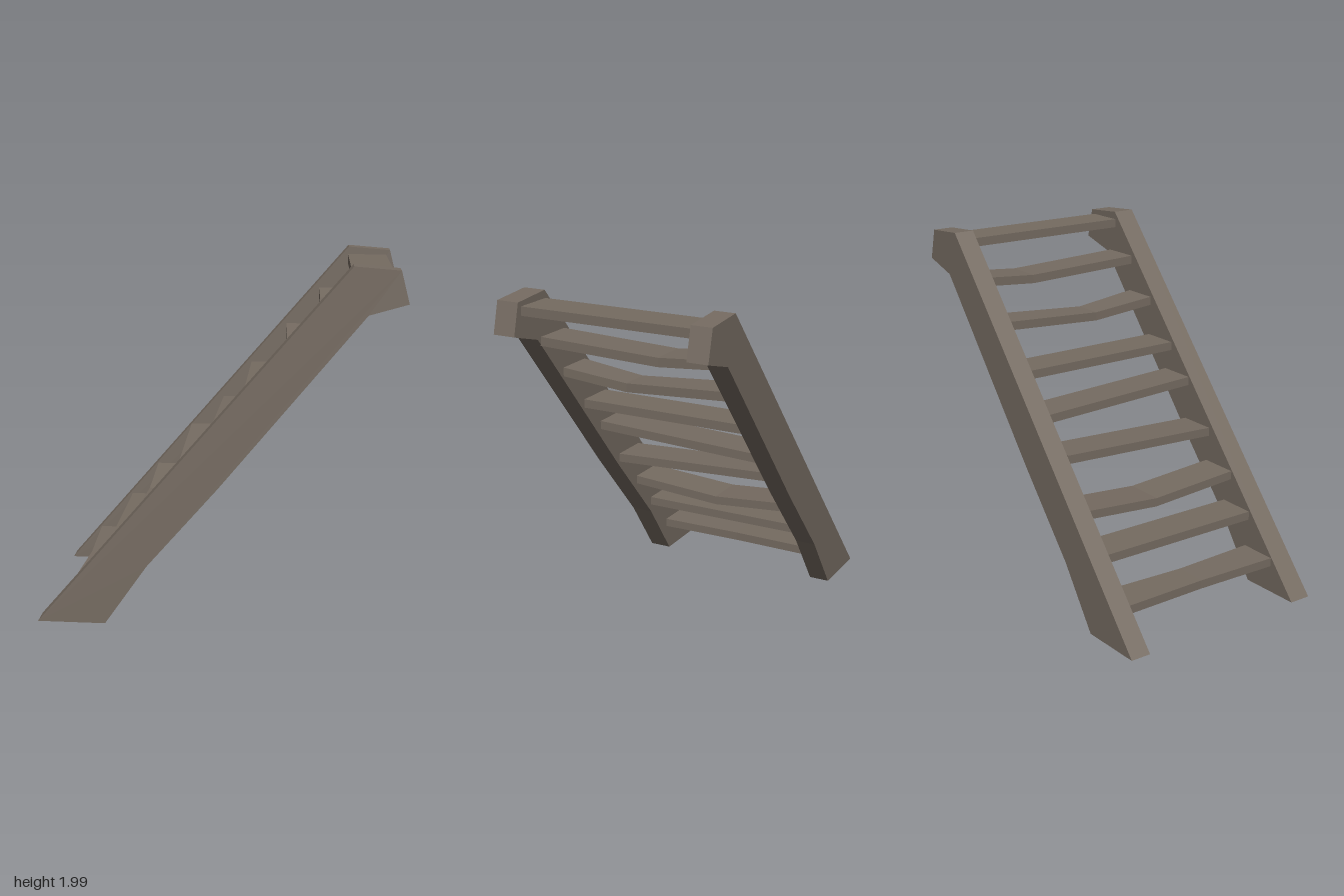
import * as THREE from 'three';

const wood = new THREE.MeshStandardMaterial({ color: 0x756b61, flatShading: true });
wood.name = 'weathered wood';

// Sloping side board, cut flat at the floor and hooked at the top
function sideBoard(name, z0, z1) {
  const outline = [[-1, 0.005], [-0.625, 0], [-0.39, 0.335], [0, 0.78],
    [0.79, 1.73], [1, 1.79], [0.955, 1.965], [0.71, 1.985]];
  const shape = new THREE.Shape(outline.map(([x, y]) => new THREE.Vector2(x, y)));
  const mesh = new THREE.Mesh(
    new THREE.ExtrudeGeometry(shape, { depth: z1 - z0, bevelEnabled: false }), wood);
  mesh.position.z = z0;
  mesh.name = name;
  return mesh;
}

// Plank with one bend line across it, where it may sag and narrow
function tread({ x0, x1, left, right = left, bendZ = 0, bendY = (left + right) / 2, nip = 0 }) {
  const g = new THREE.BoxGeometry(x1 - x0, 0.05, 2, 1, 1, 2);
  const p = g.attributes.position;
  for (let i = 0; i < p.count; i++) {
    const end = Math.round(p.getZ(i));
    const y = end > 0 ? left : end < 0 ? right : bendY;
    const inward = end === 0 ? -Math.sign(p.getX(i)) * nip : 0;
    p.setXYZ(i, (x0 + x1) / 2 + p.getX(i) + inward, y + p.getY(i), end ? end * 0.505 : bendZ);
  }
  g.computeVertexNormals();
  return new THREE.Mesh(g, wood);
}

export function createModel() {
  const group = new THREE.Group();
  group.name = 'wornStaircase';
  group.add(sideBoard('frontSideBoard', 0.5, 0.63), sideBoard('backSideBoard', -0.63, -0.51));

  // Heights at the +z end (left) and -z end (right), from the bottom step up
  const steps = [
    { x0: -0.815, x1: -0.59, left: 0.186, bendY: 0.182, nip: 0.018 },
    { x0: -0.615, x1: -0.39, left: 0.407 },
    { x0: -0.45, x1: -0.22, left: 0.607, bendZ: -0.05, bendY: 0.57 },
    { x0: -0.24, x1: -0.015, left: 0.815, right: 0.862 },
    { x0: -0.04, x1: 0.185, left: 1.08, right: 1.04 },
    { x0: 0.13, x1: 0.353, left: 1.257 },
    { x0: 0.34, x1: 0.555, left: 1.495, bendZ: 0.11, bendY: 1.453, nip: 0.02 },
    { x0: 0.535, x1: 0.76, left: 1.715, bendZ: -0.21, bendY: 1.69, nip: 0.006 },
    { x0: 0.705, x1: 0.93, left: 1.915 },
  ];
  steps.forEach((s, i) => {
    const mesh = tread(s);
    mesh.name = `tread${i + 1}`;
    group.add(mesh);
  });
  return group;
}
